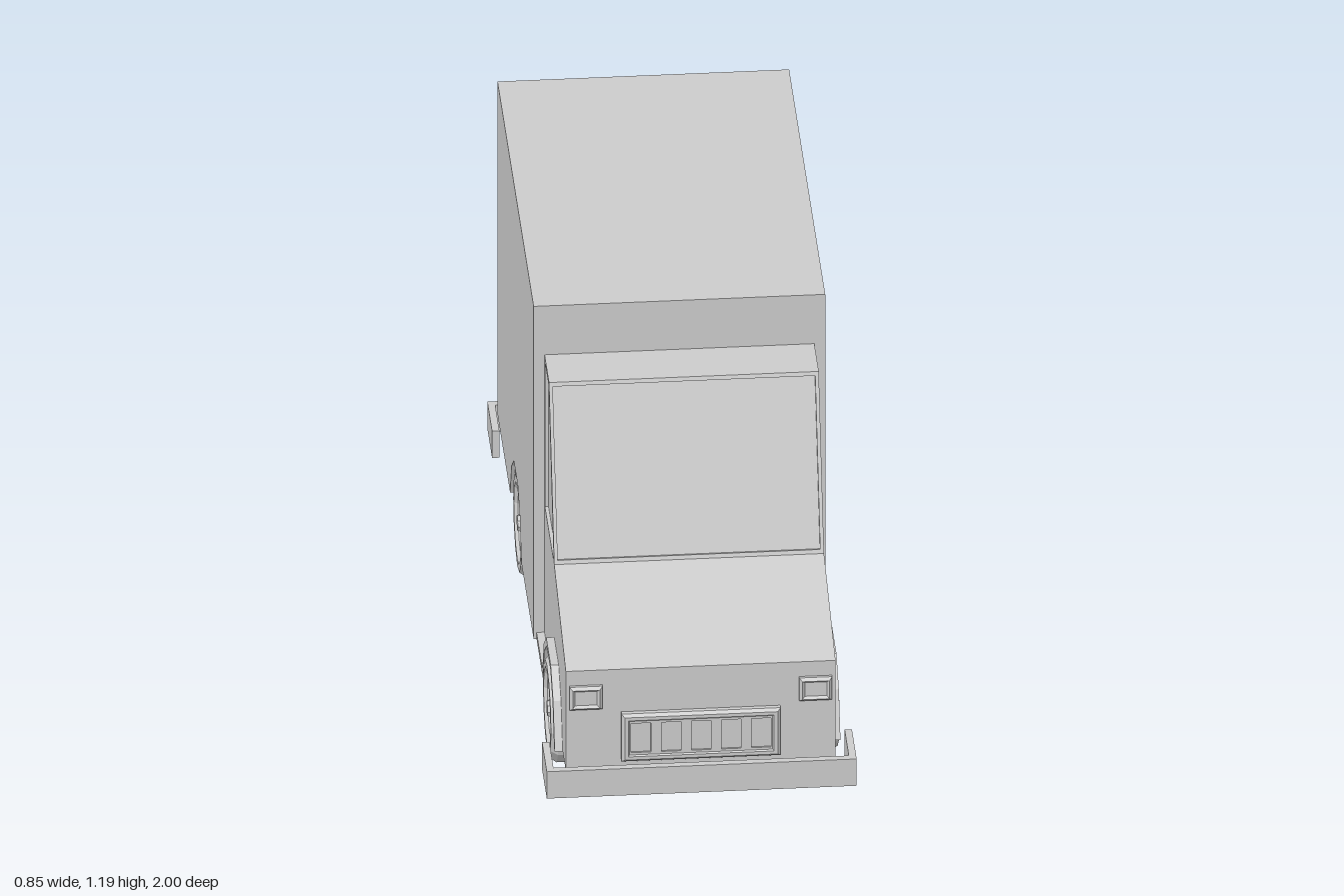
import * as THREE from 'three';

const material = new THREE.MeshStandardMaterial({ color: 0xcccccc, flatShading: true, side: THREE.DoubleSide });

function add(parent, name, geometry, x = 0, y = 0, z = 0) {
  const mesh = new THREE.Mesh(geometry, material);
  mesh.name = name;
  mesh.position.set(x, y, z);
  parent.add(mesh);
  return mesh;
}

const box = (w, h, d) => new THREE.BoxGeometry(w, h, d);
const polygon = (points) => new THREE.Shape(points.map(([a, b]) => new THREE.Vector2(a, b)));

// Extrude a (z, y) side profile from x0 to x1
function sideExtrude(points, x0, x1, hole) {
  const shape = polygon(points);
  if (hole) shape.holes.push(polygon(hole));
  const g = new THREE.ExtrudeGeometry(shape, { depth: x1 - x0, bevelEnabled: false });
  return g.rotateY(-Math.PI / 2).translate(x1, 0, 0);
}

const rect = (w, h, x = 0, y = 0) => [
  [x - w / 2, y - h / 2], [x + w / 2, y - h / 2], [x + w / 2, y + h / 2], [x - w / 2, y + h / 2]];

// Bevelled rectangular frame standing on z = 0, with a recessed pane
function framedPanel(parent, name, w, h, border, depth) {
  const group = new THREE.Group();
  group.name = name;
  const b = Math.min(0.008, depth / 2);
  const shape = polygon(rect(w - 2 * b, h - 2 * b));
  shape.holes.push(polygon(rect(w - 2 * border, h - 2 * border)));
  add(group, 'frame', new THREE.ExtrudeGeometry(shape, {
    depth: depth - b, bevelThickness: b, bevelSize: b, bevelSegments: 1 }));
  add(group, 'pane', box(w - border, h - border, depth * 0.6), 0, 0, depth * 0.3);
  parent.add(group);
  return group;
}

const FLOOR = 0.135, FRONT_AXLE = 0.65, REAR_AXLE = -0.35;

// Wheel arch outline from the rear foot to the front foot
const arch = (zc, grow = 0) => [
  [-0.19 - grow, FLOOR], [-0.14 - grow * 0.8, 0.25 + grow * 0.7], [-0.065 - grow * 0.5, 0.31 + grow],
  [0.065 + grow * 0.5, 0.31 + grow], [0.14 + grow * 0.8, 0.25 + grow * 0.7], [0.19 + grow, FLOOR],
].map(([z, y]) => [zc + z, y]);

function createWheel() {
  const wheel = new THREE.Group();
  wheel.name = 'wheel';
  const lathe = (pts) => new THREE.LatheGeometry(pts.map(([r, x]) => new THREE.Vector2(r, x)), 12).rotateZ(-Math.PI / 2);
  add(wheel, 'tyre', lathe([
    [0.108, -0.055], [0.135, -0.055], [0.149, -0.035], [0.149, 0.035], [0.135, 0.055],
    [0.115, 0.055], [0.105, 0.045], [0.105, -0.045], [0.108, -0.055]]));
  // Spoked disc with eight openings
  const disc = new THREE.Shape().absarc(0, 0, 0.11, 0, Math.PI * 2);
  for (let i = 0; i < 8; i++) {
    const a = i * Math.PI / 4;
    disc.holes.push(polygon([[0.046, -0.1], [0.095, -0.26], [0.1, 0], [0.095, 0.26], [0.046, 0.1]]
      .map(([r, t]) => [r * Math.cos(a + t), r * Math.sin(a + t)])));
  }
  const g = new THREE.ExtrudeGeometry(disc, { depth: 0.025, bevelEnabled: false, curveSegments: 6 });
  add(wheel, 'spokedRim', g.rotateY(Math.PI / 2), 0.015);
  add(wheel, 'hub', new THREE.CylinderGeometry(0.022, 0.028, 0.02, 8).rotateZ(-Math.PI / 2), 0.045);
  return wheel;
}

// U-shaped bumper facing +z
function createBumper(name) {
  const shape = polygon([[-0.425, 0.84], [-0.425, 1], [0.425, 1], [0.425, 0.84],
    [0.405, 0.84], [0.405, 0.98], [-0.405, 0.98], [-0.405, 0.84]]);
  const bumper = new THREE.Group();
  bumper.name = name;
  add(bumper, 'bumperBar', new THREE.ExtrudeGeometry(shape, { depth: 0.085, bevelEnabled: false })
    .rotateX(Math.PI / 2), 0, 0.155);
  for (const x of [-0.25, 0.25]) add(bumper, 'bumperBracket', box(0.06, 0.03, 0.06), x, 0.125, 0.955);
  return bumper;
}

export function createModel() {
  const model = new THREE.Group();
  model.name = 'boxTruck';

  // Cargo box: solid middle plus side slabs with rear wheel arches
  add(model, 'cargoCore', box(0.54, 1.055, 1.215), 0, 0.6625, -0.3575);
  const cargoSide = [[-0.965, FLOOR], ...arch(REAR_AXLE), [0.25, FLOOR], [0.25, 1.19], [-0.965, 1.19]];
  add(model, 'cargoSideLeft', sideExtrude(cargoSide, 0.27, 0.4));
  add(model, 'cargoSideRight', sideExtrude(cargoSide, -0.4, -0.27));

  // Cab: recessed windscreen in the core, thin outer skins with side windows
  const nose = [[0.965, FLOOR], [0.965, 0.45], [0.575, 0.56]];
  const roof = [[0.4, 1.035], [0.25, 1.035]];
  const glass = [[0.571, 0.571], [0.56, 0.567], [0.393, 1.02], [0.404, 1.024]];
  const start = [0.25, FLOOR];
  const notched = [start, ...arch(FRONT_AXLE)];
  const sideWindow = [[0.262, 0.56], [0.555, 0.56], [0.388, 1.018], [0.262, 1.018]];
  add(model, 'cabCore', sideExtrude([start, ...nose, ...glass, ...roof], -0.27, 0.27));
  const flare = [...arch(FRONT_AXLE).reverse(), [0.25, FLOOR], [0.25, 0.155], [0.447, 0.155],
    ...arch(FRONT_AXLE, 0.02).slice(1)];
  for (const s of [1, -1]) {
    const slab = (name, pts, a, b, hole) =>
      add(model, name, sideExtrude(pts, Math.min(s * a, s * b), Math.max(s * a, s * b), hole));
    slab('cabSide', [...notched, ...nose, ...glass, ...roof], 0.27, 0.36);
    slab('cabSkin', [...notched, ...nose, ...roof], 0.36, 0.37, sideWindow);
    slab('frontFenderFlare', flare, 0.36, 0.392);
    slab('rearArchLip', [...arch(REAR_AXLE), ...arch(REAR_AXLE, -0.012).reverse()], 0.28, 0.39);

    // Wheels, with the spoked face outward
    for (const z of [FRONT_AXLE, REAR_AXLE]) {
      const wheel = createWheel();
      wheel.position.set(s * 0.341, 0.15, z);
      if (s < 0) wheel.rotation.y = Math.PI;
      model.add(wheel);
    }

    // Lamps
    framedPanel(model, 'headlight', 0.09, 0.073, 0.008, 0.017).position.set(s * 0.315, 0.367, 0.964);
    for (const [name, y, h, d] of [['tailLight', 0.3, 0.075, 0.025], ['reverseLight', 0.215, 0.036, 0.012]]) {
      const lamp = framedPanel(model, name, 0.075, h, 0.009, d);
      lamp.position.set(s * 0.332, y, -0.964);
      lamp.rotation.y = Math.PI;
    }

    // Rear doors and handles
    add(model, 'rearDoor', box(0.262, 0.775, 0.012), s * 0.133, 0.67, -0.966);
    add(model, 'doorHandle', box(0.075, 0.012, 0.008), s * 0.09, 0.64, -0.986);
    for (const dx of [-0.028, 0.028]) add(model, 'handlePost', box(0.01, 0.01, 0.016), s * 0.09 + dx, 0.64, -0.978);
  }

  // Grille with five openings
  const grille = framedPanel(model, 'grille', 0.436, 0.15, 0.018, 0.022);
  grille.position.set(0, 0.24, 0.964);
  const bars = polygon(rect(0.41, 0.125));
  for (let i = -2; i <= 2; i++) bars.holes.push(polygon(rect(0.054, 0.092, i * 0.0825)));
  add(grille, 'grilleBars', new THREE.ExtrudeGeometry(bars, { depth: 0.005, bevelEnabled: false }), 0, 0, 0.0132);

  // Bumpers
  const rear = createBumper('rearBumper');
  rear.rotation.y = Math.PI;
  model.add(createBumper('frontBumper'), rear);
  return model;
}
